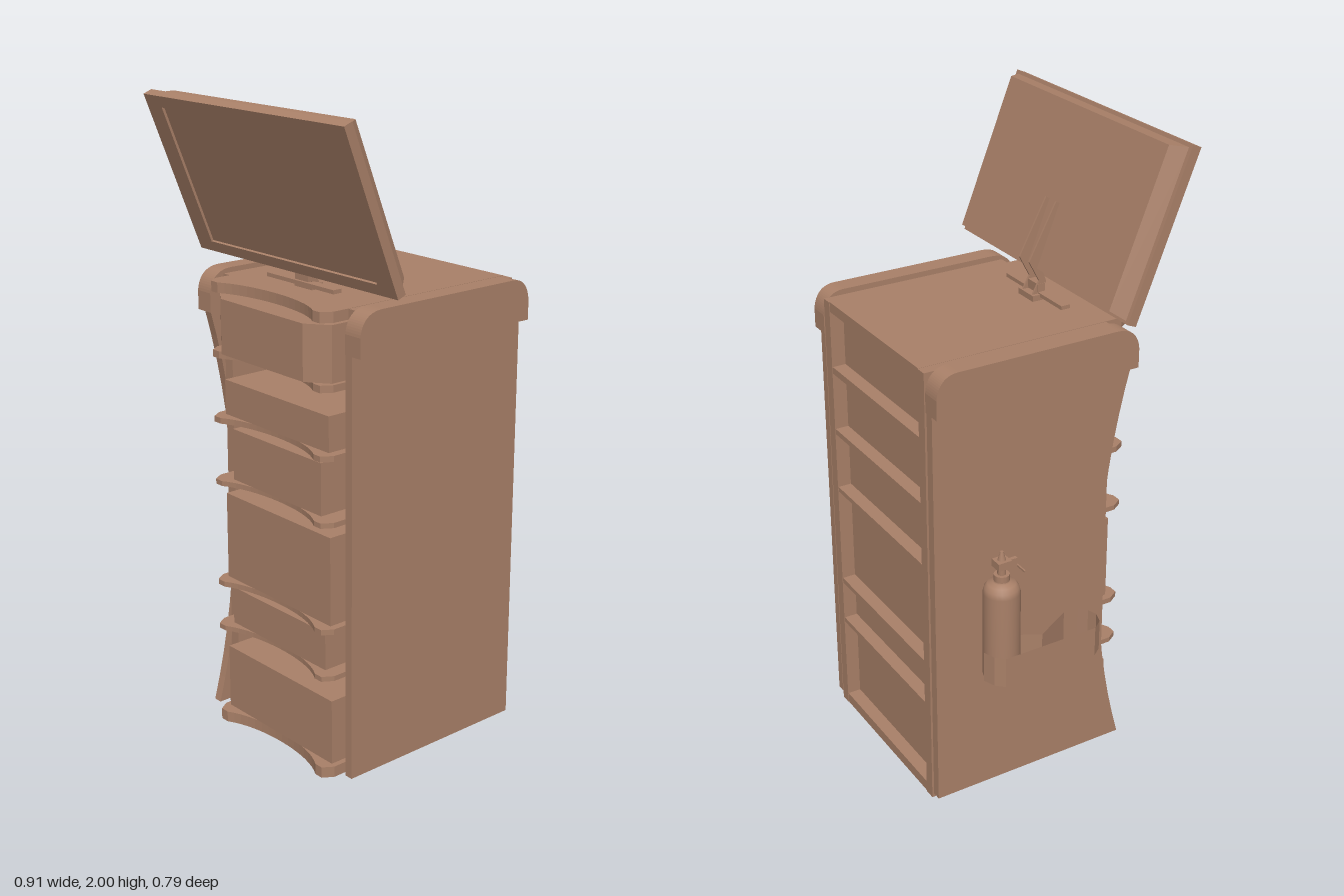
import * as THREE from 'three';

const CX = 0.005; // the cabinet is mirrored about this plane

export function createModel() {
  const root = new THREE.Group();
  root.name = 'toolCart';
  const mat = new THREE.MeshStandardMaterial({ color: 0xa98068 });
  const thin = new THREE.MeshStandardMaterial({ color: 0xa98068, side: THREE.DoubleSide });

  const add = (name, geo, parent = root, m = mat) => {
    const mesh = new THREE.Mesh(geo, m);
    mesh.name = name;
    parent.add(mesh);
    return mesh;
  };
  const box = (name, x0, x1, y0, y1, z0, z1, parent = root) => {
    const geo = new THREE.BoxGeometry(x1 - x0, y1 - y0, z1 - z0);
    geo.translate((x0 + x1) / 2, (y0 + y1) / 2, (z0 + z1) / 2);
    return add(name, geo, parent);
  };
  const shapeOf = pts => new THREE.Shape(pts.map(p => new THREE.Vector2(p[0], p[1])));
  // Plan outline (x, z) raised from y0 to y1
  const plan = (name, shape, y0, y1) => {
    const geo = new THREE.ExtrudeGeometry(shape, { depth: y1 - y0, bevelEnabled: false, curveSegments: 16 });
    geo.rotateX(Math.PI / 2).translate(0, y1, 0);
    return add(name, geo);
  };
  // Side outline (z, y) spanning x0 to x1
  const side = (name, shape, x0, x1) => {
    const geo = new THREE.ExtrudeGeometry(shape, { depth: x1 - x0, bevelEnabled: false, curveSegments: 16 });
    geo.rotateY(-Math.PI / 2).translate(x1, 0, 0);
    return add(name, geo);
  };

  // Shelves between the walls, with chamfered corners and a hollowed front edge
  const shelf = new THREE.Shape();
  shelf.moveTo(CX - 0.271, -0.393);
  shelf.lineTo(CX + 0.271, -0.393);
  shelf.lineTo(CX + 0.271, 0.28);
  shelf.lineTo(CX + 0.25, 0.313);
  shelf.lineTo(CX + 0.22, 0.313);
  shelf.bezierCurveTo(CX + 0.12, 0.25, CX - 0.12, 0.25, CX - 0.22, 0.313);
  shelf.lineTo(CX - 0.25, 0.313);
  shelf.lineTo(CX - 0.271, 0.28);
  const levels = [[0, 0.035], [0.322, 0.338], [0.473, 0.49], [0.81, 0.826], [1.012, 1.03], [1.218, 1.24], [1.42, 1.452]];
  levels.forEach(([y0, y1]) => plan('shelf', shelf, y0, y1));

  // Cabinet walls and recessed back
  for (const s of [-1, 1]) {
    const a = CX + s * 0.27, b = CX + s * 0.305;
    box('cabinetWall', Math.min(a, b), Math.max(a, b), 0, 1.451, -0.395, 0.225);
  }
  box('cabinetBack', CX - 0.271, CX + 0.271, 0.01, 1.44, -0.35, -0.335);

  // Drawers: half width, bottom, top
  [[0.253, 0.035, 0.245], [0.224, 0.338, 0.46], [0.248, 0.49, 0.77], [0.208, 0.826, 0.99], [0.243, 1.03, 1.14]]
    .forEach(([w, y0, y1]) => box('drawer', CX - w, CX + w, y0, y1, -0.335, 0.275));
  plan('topDrawer', shapeOf([
    [CX - 0.258, -0.335], [CX + 0.258, -0.335], [CX + 0.258, 0.275],
    [CX + 0.19, 0.325], [CX - 0.19, 0.325], [CX - 0.258, 0.275]]), 1.24, 1.41);

  // Outer side panels; the one on the right has a hollowed front edge
  side('leftPanel', shapeOf([[-0.393, 0.02], [0.272, 0.02], [0.272, 1.34], [-0.393, 1.34]]), 0.318, 0.345);
  const hollow = new THREE.Shape();
  hollow.moveTo(-0.393, 0.02);
  hollow.lineTo(0.272, 0.02);
  hollow.bezierCurveTo(0.15, 0.45, 0.15, 0.9, 0.272, 1.34);
  hollow.lineTo(-0.393, 1.34);
  side('rightPanel', hollow, -0.337, -0.308);

  // Rounded top rails
  const rail = new THREE.Shape();
  rail.moveTo(-0.395, 1.335);
  rail.lineTo(0.273, 1.335);
  rail.lineTo(0.273, 1.395);
  rail.quadraticCurveTo(0.265, 1.465, 0.19, 1.465);
  rail.lineTo(-0.325, 1.465);
  rail.quadraticCurveTo(-0.387, 1.465, -0.395, 1.395);
  side('leftRail', rail, 0.317, 0.38);
  side('rightRail', rail, -0.368, -0.306);

  // Monitor, leaning forward
  const monitor = new THREE.Group();
  monitor.name = 'monitor';
  monitor.position.set(0.007, 1.505, 0.203);
  monitor.rotation.x = 0.38;
  root.add(monitor);
  box('monitorBody', -0.448, 0.448, 0, 0.522, -0.03, -0.008, monitor);
  const frame = shapeOf([[-0.448, 0], [0.448, 0], [0.448, 0.522], [-0.448, 0.522]]);
  frame.holes.push(new THREE.Path([[-0.377, 0.035], [-0.377, 0.485], [0.377, 0.485], [0.377, 0.035]]
    .map(p => new THREE.Vector2(p[0], p[1]))));
  add('screenFrame', new THREE.ExtrudeGeometry(frame, { depth: 0.008, bevelEnabled: false }), monitor)
    .position.z = -0.008;
  const bulge = new THREE.BoxGeometry(0.87, 0.504, 0.045);
  const p = bulge.attributes.position;
  for (let i = 0; i < p.count; i++) {
    if (p.getZ(i) < 0) p.setXY(i, p.getX(i) * 0.93, p.getY(i) * 0.955);
  }
  bulge.computeVertexNormals();
  add('monitorBack', bulge, monitor).position.set(0, 0.26, -0.0515);

  // Monitor stand
  const arm = shapeOf([[0.205, 1.745], [0.115, 1.575], [0.15, 1.51], [0.125, 1.465],
    [0.15, 1.46], [0.175, 1.505], [0.15, 1.57], [0.225, 1.735]]);
  for (const x of [-0.022, 0.031]) side('standArm', arm, x - 0.003, x + 0.003);
  box('standBlock', -0.035, 0.045, 1.45, 1.47, 0.122, 0.165);
  box('standHinge', -0.026, 0.034, 1.475, 1.5, 0.145, 0.17);
  box('standBar', -0.15, 0.155, 1.462, 1.474, 0.147, 0.177);

  // Bottle holder: a thin open band on the right panel
  const band = [[-0.337, -0.225], [-0.365, -0.245], [-0.395, -0.264], [-0.432, -0.25], [-0.456, -0.225],
    [-0.456, 0.09], [-0.432, 0.122], [-0.395, 0.135], [-0.365, 0.125], [-0.337, 0.105],
    [-0.337, 0.055], [-0.402, -0.065], [-0.337, -0.185], [-0.337, -0.225]];
  const verts = [], faces = [];
  band.forEach(([x, z], i) => {
    verts.push(x, 0.45, z, x, 0.55, z);
    const a = i * 2;
    if (i < band.length - 1) faces.push(a, a + 1, a + 2, a + 1, a + 3, a + 2);
  });
  let holder = new THREE.BufferGeometry();
  holder.setAttribute('position', new THREE.Float32BufferAttribute(verts, 3));
  holder.setIndex(faces);
  holder = holder.toNonIndexed();
  holder.computeVertexNormals();
  add('bottleHolder', holder, root, thin);

  // Spray bottle
  const bottle = new THREE.Group();
  bottle.name = 'sprayBottle';
  bottle.position.set(-0.395, 0, -0.204);
  root.add(bottle);
  const profile = [[0, 0.452], [0.05, 0.452], [0.056, 0.46], [0.056, 0.745], [0.052, 0.762], [0.042, 0.775],
    [0.025, 0.78], [0.02, 0.785], [0.02, 0.8], [0, 0.8]];
  add('bottleBody', new THREE.LatheGeometry(profile.map(q => new THREE.Vector2(q[0], q[1])), 24), bottle);
  const cyl = (name, r0, r1, h, y) =>
    add(name, new THREE.CylinderGeometry(r0, r1, h, 12), bottle).position.set(0, y, 0);
  cyl('bottleCollar', 0.024, 0.024, 0.02, 0.795);
  cyl('bottleNeck', 0.013, 0.013, 0.035, 0.82);
  cyl('sprayTip', 0.005, 0.013, 0.03, 0.865);
  box('sprayHead', -0.02, 0.02, 0.828, 0.852, -0.022, 0.022, bottle);
  box('sprayNozzle', -0.006, 0.006, 0.834, 0.846, 0.02, 0.05, bottle);
  box('sprayTrigger', -0.046, 0.035, 0.817, 0.823, 0.048, 0.053, bottle);
  box('triggerLever', -0.005, 0.005, 0.817, 0.836, 0.03, 0.05, bottle);

  return root;
}
